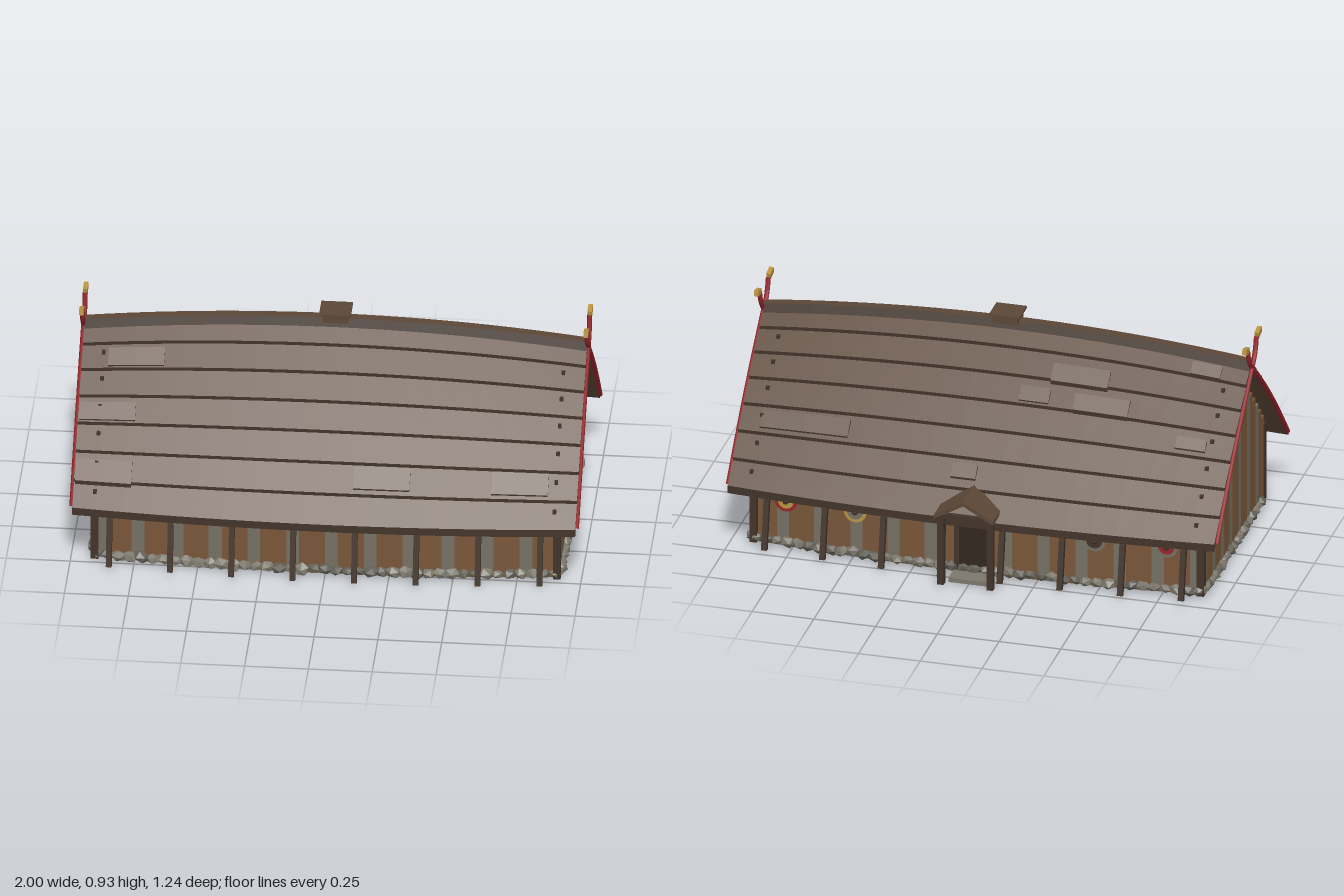
import * as THREE from 'three';

const mat = (name, color, side = THREE.FrontSide) => {
  const m = new THREE.MeshStandardMaterial({ color, side });
  m.name = name;
  return m;
};

export function createModel() {
  const M = {
    roof: mat('roof wood', 0x5c4737),
    dark: mat('dark timber', 0x42342a),
    tan: mat('tan plank', 0x795639),
    grey: mat('weathered plank', 0x757064),
    stone: mat('light stone', 0x7b776c),
    stoneDark: mat('dark stone', 0x625f56),
    red: mat('red paint', 0x96262c),
    gold: mat('gold', 0xb8923f),
    door: mat('door wood', 0x33271f),
  };
  const model = new THREE.Group();
  model.name = 'longhouse';
  const add = (name, geo, material, parent = model) => {
    const m = new THREE.Mesh(geo, material);
    m.name = name;
    parent.add(m);
    return m;
  };
  const group = (name) => {
    const g = new THREE.Group();
    g.name = name;
    model.add(g);
    return g;
  };
  const box = (name, w, h, d, x, y, z, material, parent) => {
    const m = add(name, new THREE.BoxGeometry(w, h, d), material, parent);
    m.position.set(x, y, z);
    return m;
  };
  let seed = 7;
  const rnd = () => (seed = (seed * 16807) % 2147483647) / 2147483647;

  // Bowed plan: roof and walls are widest at the middle, the ridge is highest there
  const ZC = 0.033;
  const halfRoof = (x) => 0.588 - 0.048 * x * x;
  const halfWall = (x) => 0.48 - 0.059 * x * x;
  const ridgeY = (x) => 0.872 - 0.06 * x * x;
  const roofY = (x, t) => {
    const r = ridgeY(x);
    return r - (r - 0.27) * (t - 0.04 * Math.sin(Math.PI * t));
  };
  const roofPoint = (x, t, s, off) => [x, roofY(x, t) + off, ZC + s * halfRoof(x) * t];

  // Four-cornered section swept along x; groups: top, dark edges, underside, ends
  function sweep(section, x0, x1, n, flip) {
    const pos = [];
    const geo = new THREE.BufferGeometry();
    const quad = (a, b, c, d) => {
      const q = flip ? [a, c, b, a, d, c] : [a, b, c, a, c, d];
      q.forEach((p) => pos.push(...p));
    };
    const rows = [];
    for (let i = 0; i <= n; i++) rows.push(section(x0 + ((x1 - x0) * i) / n));
    for (let k = 0; k < 4; k++) {
      const start = pos.length / 3, j = (k + 1) % 4;
      for (let i = 0; i < n; i++) quad(rows[i][k], rows[i][j], rows[i + 1][j], rows[i + 1][k]);
      geo.addGroup(start, pos.length / 3 - start, k % 2);
    }
    const start = pos.length / 3, [a, b, c, d] = rows[0];
    quad(d, c, b, a);
    quad(...rows[n]);
    geo.addGroup(start, 12, 1);
    geo.setAttribute('position', new THREE.Float32BufferAttribute(pos, 3));
    geo.computeVertexNormals();
    return geo;
  }
  const slab = (name, s, t0, t1, top0, top1, bottom, x0, x1, n, parent) =>
    add(name, sweep((x) => [
      roofPoint(x, t0, s, top0), roofPoint(x, t1, s, top1),
      roofPoint(x, t1, s, bottom), roofPoint(x, t0, s, bottom),
    ], x0, x1, n, s < 0), [M.roof, M.dark], parent);

  // Overlapping roof courses
  const roof = group('roof');
  const COURSES = 7;
  for (const s of [1, -1]) {
    for (let i = 0; i < COURSES; i++) {
      slab('roofCourse', s, i / COURSES, (i + 1) / COURSES, 0, 0.014, -0.018, -0.985, 0.985, 20, roof);
    }
  }
  add('ridgeCap', sweep((x) => {
    const y = ridgeY(x) + 0.016;
    return [[x, y, ZC - 0.018], [x, y, ZC + 0.018], [x, y - 0.035, ZC + 0.03], [x, y - 0.035, ZC - 0.03]];
  }, -0.985, 0.985, 20, false), [M.roof, M.dark], roof);

  // Repair boards: side, x range, distance range from the ridge line
  const patches = [
    [1, -0.88, -0.66, 0.1, 0.155], [1, -0.98, -0.76, 0.26, 0.31], [1, -0.98, -0.76, 0.42, 0.48],
    [1, 0.11, 0.33, 0.43, 0.49], [1, 0.65, 0.87, 0.41, 0.47], [-1, 0.54, 0.9, 0.34, 0.39],
    [-1, -0.55, -0.33, 0.2, 0.25], [-1, -0.23, -0.11, 0.2, 0.245], [-1, -0.45, -0.22, 0.12, 0.175],
    [-1, 0, 0.1, 0.44, 0.48], [-1, -0.88, -0.76, 0.27, 0.305], [-1, -0.88, -0.76, 0.04, 0.08],
  ];
  for (const [s, x0, x1, d0, d1] of patches) {
    const h = halfRoof((x0 + x1) / 2);
    slab('repairBoard', s, d0 / h, d1 / h, 0.017, 0.018, 0, x0, x1, 2, roof);
  }
  // Pegs near the roof ends
  for (const s of [1, -1]) for (const x of [-0.9, 0.9]) for (let i = 1; i < COURSES; i++) {
    const [px, py, pz] = roofPoint(x, (i + 0.35) / COURSES, s, 0.008);
    box('roofPeg', 0.014, 0.014, 0.014, px, py, pz, M.dark, roof);
  }

  // Smoke vent on the ridge
  const vent = group('smokeVent');
  box('ventNeck', 0.08, 0.06, 0.03, 0, 0.868, ZC, M.dark, vent);
  box('ventHood', 0.1, 0.03, 0.085, 0, 0.893, ZC, M.roof, vent);
  box('ventLid', 0.124, 0.008, 0.11, 0, 0.916, ZC, M.roof, vent);

  // Painted barge boards that cross and rise into horns with gilded heads
  const boards = group('bargeBoards');
  for (const e of [-1, 1]) for (const s of [1, -1]) {
    const x = e * 0.988, pts = [];
    for (let i = 0; i <= 8; i++) {
      const t = 0.965 * (1 - i / 8);
      pts.push(new THREE.Vector3(x, roofY(x, t) - 0.013, ZC + s * halfRoof(x) * t));
    }
    for (const [d, y] of [[0.026, 0.822], [0.046, 0.85], [0.058, 0.88], [0.064, 0.905]]) {
      pts.push(new THREE.Vector3(x, y, ZC - s * d));
    }
    add('bargeBoard', new THREE.TubeGeometry(new THREE.CatmullRomCurve3(pts), 40, 0.01, 6), M.red, boards);
    const head = box('hornHead', 0.018, 0.024, 0.045, x, 0.911, ZC - s * 0.09, M.gold, boards);
    head.rotation.x = s * 0.22;
    const snout = box('hornSnout', 0.014, 0.014, 0.012, x, 0.912, ZC - s * 0.112, M.gold, boards);
    snout.rotation.x = s * 0.22;
  }

  // Gable walls of upright planks, stepped under the roof
  const walls = group('walls');
  for (const e of [-1, 1]) for (let k = 0; k <= 20; k++) {
    const z = -0.387 + 0.042 * k;
    const h = roofY(0.91, (Math.abs(z - ZC) + 0.008) / halfRoof(0.91)) - 0.028;
    box('gablePlank', 0.02, h - 0.01, 0.042, e * 0.905, (h + 0.01) / 2, z, k % 3 ? M.tan : M.grey, walls);
  }
  // Bowed long walls
  const N = 36, PW = 1.82 / N;
  for (const s of [1, -1]) for (let k = 0; k < N; k++) {
    const x = -0.91 + PW * (k + 0.5);
    const h = roofY(x, halfWall(x) / halfRoof(x)) - 0.022;
    const p = box('wallPlank', PW + 0.001, h - 0.01, 0.02, x, (h + 0.01) / 2, ZC + s * halfWall(x),
      k % 3 === 0 ? M.grey : M.tan, walls);
    p.rotation.y = Math.atan(s * 0.118 * x);
  }
  // Corner posts and slanted outer props
  const posts = group('posts');
  const beam = (name, a, b, w, material, parent) => {
    const va = new THREE.Vector3(...a), vb = new THREE.Vector3(...b);
    const m = box(name, w, w, va.distanceTo(vb), 0, 0, 0, material, parent);
    m.position.copy(va).add(vb).multiplyScalar(0.5);
    m.lookAt(vb);
    return m;
  };
  for (const s of [1, -1]) {
    for (const e of [-1, 1]) box('cornerPost', 0.03, 0.33, 0.03, e * 0.905, 0.175, ZC + s * 0.445, M.dark, posts);
    for (let i = 0; i < 8; i++) {
      const x = -0.844 + 0.241 * i, w = halfWall(x);
      beam('slantedProp', [x, 0.012, ZC + s * (w + 0.08)], [x, 0.335, ZC + s * (w + 0.017)], 0.022, M.dark, posts);
    }
  }

  // Rubble footing around the walls
  const footing = group('stoneFooting');
  const stone = (x, z) => {
    const r = 0.024 + rnd() * 0.01;
    const m = add('footingStone', new THREE.IcosahedronGeometry(1, 0), rnd() < 0.65 ? M.stone : M.stoneDark, footing);
    m.scale.set(r * 1.1, r * 0.75, r);
    m.rotation.set(rnd() * 0.5, rnd() * 6, rnd() * 0.5);
    m.position.set(x, 0.025 + rnd() * 0.006, z);
  };
  for (const s of [1, -1]) {
    for (let x = -0.9; x <= 0.905; x += 0.045) stone(x, ZC + s * (halfWall(x) + 0.008));
    for (let z = -0.39; z <= 0.46; z += 0.045) stone(s * 0.91, z);
  }

  // Back porch with its own little gabled roof
  const porch = group('porch');
  const chevron = new THREE.Shape([
    [-0.12, 0.305], [0, 0.374], [0.12, 0.305], [0.12, 0.321], [0, 0.391], [-0.12, 0.321],
  ].map((p) => new THREE.Vector2(...p)));
  add('porchRoof', new THREE.ExtrudeGeometry(chevron, { depth: 0.19, bevelEnabled: false }), M.roof, porch)
    .position.z = -0.622;
  for (const e of [-1, 1]) {
    box('porchPost', 0.026, 0.3, 0.026, e * 0.1, 0.16, -0.583, M.dark, porch);
    box('porchPlate', 0.02, 0.02, 0.16, e * 0.1, 0.305, -0.52, M.dark, porch);
    box('doorJamb', 0.02, 0.27, 0.03, e * 0.07, 0.15, -0.455, M.dark, porch);
  }
  box('porchTie', 0.2, 0.02, 0.02, 0, 0.305, -0.583, M.dark, porch);
  box('doorLintel', 0.18, 0.024, 0.034, 0, 0.29, -0.455, M.dark, porch);
  box('door', 0.12, 0.26, 0.014, 0, 0.15, -0.457, M.door, porch);
  box('doorStep', 0.16, 0.018, 0.08, 0, 0.012, -0.51, M.stone, porch);

  // Round shields hung on the back wall
  const shields = [[0.77, M.red, M.gold], [0.484, M.gold, M.grey], [-0.484, M.grey, M.dark], [-0.77, M.grey, M.red]];
  for (const [x, rim, face] of shields) {
    const g = group('shield');
    g.position.set(x, 0.21, ZC - halfWall(x) - 0.016);
    g.rotation.x = -Math.PI / 2;
    add('shieldRim', new THREE.CylinderGeometry(0.046, 0.046, 0.01, 20), rim, g);
    add('shieldFace', new THREE.CylinderGeometry(0.032, 0.032, 0.006, 20), face, g).position.y = 0.005;
    add('shieldBoss', new THREE.SphereGeometry(0.013, 12, 8), M.dark, g).position.y = 0.008;
  }
  return model;
}
